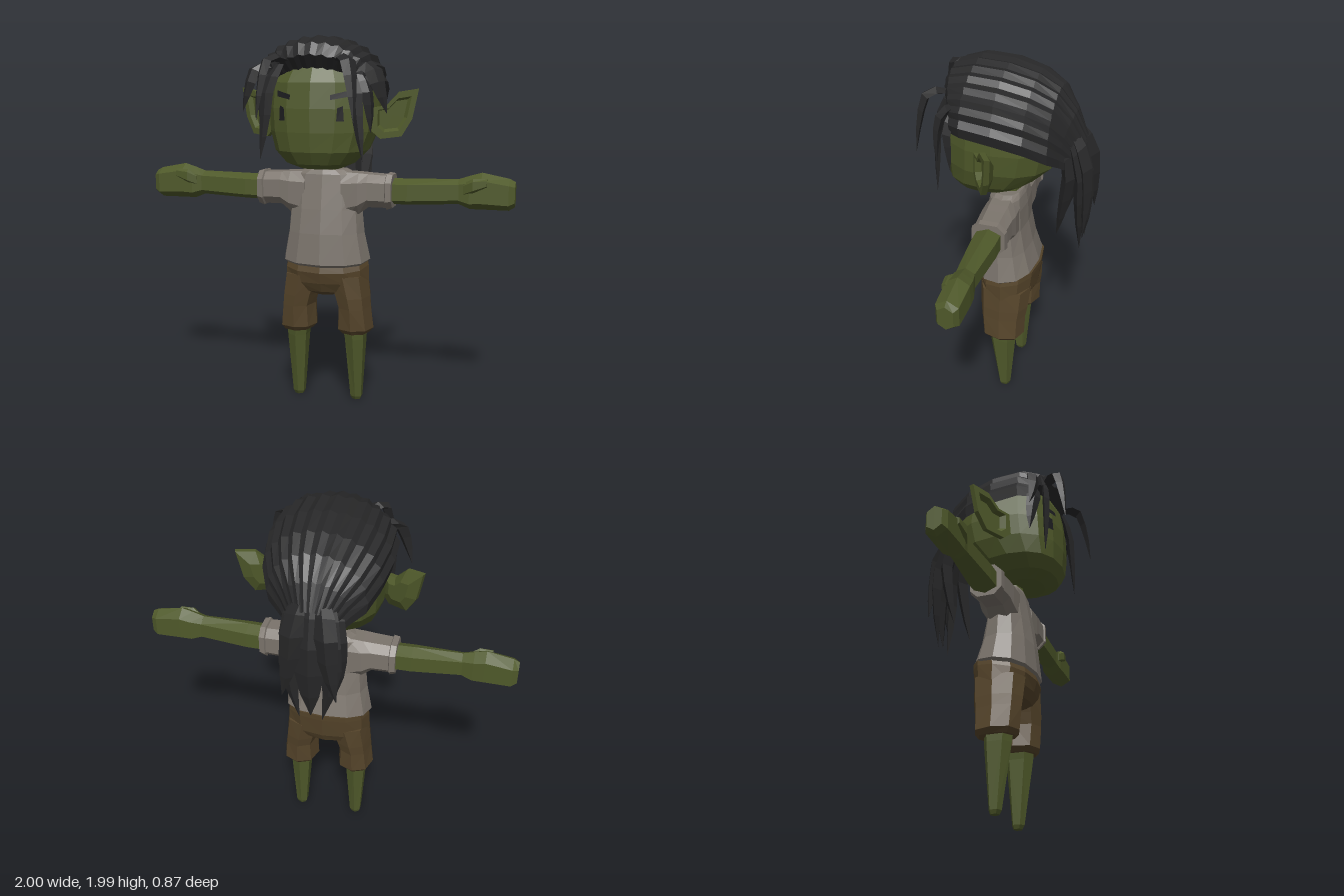
import * as THREE from 'three';

const mat = (name, color, side = THREE.FrontSide) => {
  const m = new THREE.MeshStandardMaterial({ color, flatShading: true, side });
  m.name = name;
  return m;
};
const V = (x, y, z) => new THREE.Vector3(x, y, z);
const mirrored = (rings) => rings.map((r) => r.map((p) => V(-p.x, p.y, p.z)));
const spow = (v, p) => Math.sign(v) * Math.abs(v) ** p;

// Geometry from points and triangles
function build(points, tris) {
  const g = new THREE.BufferGeometry().setFromPoints(points);
  g.setIndex(tris);
  const out = g.toNonIndexed();
  out.computeVertexNormals();
  return out;
}

// Closed skin over a list of equal-sized rings, always facing outward
function loft(rings) {
  const n = rings[0].length, pts = rings.flat(), tris = [];
  for (let r = 0; r < rings.length - 1; r++)
    for (let i = 0; i < n; i++) {
      const a = r * n + i, b = r * n + (i + 1) % n;
      tris.push(a, b, b + n, a, b + n, a + n);
    }
  const cap = (ring, base, flip) => {
    const c = ring.reduce((s, p) => s.add(p), V(0, 0, 0)).divideScalar(n);
    const k = pts.push(c) - 1;
    for (let i = 0; i < n; i++) {
      const a = base + i, b = base + (i + 1) % n;
      tris.push(k, ...(flip ? [b, a] : [a, b]));
    }
  };
  cap(rings[0], 0, true);
  cap(rings[rings.length - 1], (rings.length - 1) * n, false);
  let vol = 0;
  for (let i = 0; i < tris.length; i += 3)
    vol += pts[tris[i]].dot(pts[tris[i + 1]].clone().cross(pts[tris[i + 2]]));
  return build(pts, vol < 0 ? tris.reverse() : tris);
}

// Horizontal ring: height, x range, z range (front, back), optional tilt toward the back
const ringY = (n, y, x0, x1, zf, zb, tilt = 0, p = 0.85) => Array.from({ length: n }, (_, i) => {
  const a = (i / n) * Math.PI * 2, c = spow(Math.cos(a), p);
  return V((x0 + x1) / 2 + (x1 - x0) / 2 * spow(Math.sin(a), p), y - tilt * c, (zf + zb) / 2 + (zf - zb) / 2 * c);
});
// Upright ring across an arm
const ringX = (n, x, y0, y1, z0, z1) => Array.from({ length: n }, (_, i) => {
  const a = ((i + 0.5) / n) * Math.PI * 2;
  return V(x, (y0 + y1) / 2 + (y1 - y0) / 2 * spow(Math.sin(a), 0.7), (z0 + z1) / 2 + (z1 - z0) / 2 * spow(Math.cos(a), 0.7));
});

// Tapered lock of hair along a curve
function lock(path, width, thick, axis) {
  const curve = new THREE.CatmullRomCurve3(path.map((p) => V(...p)));
  const w = V(...axis).normalize();
  return [0.6, 0.95, 1, 0.85, 0.55, 0.02].map((s, i) => {
    const t = i / 5, c = curve.getPoint(t);
    const d = curve.getTangent(t).cross(w).normalize();
    return [[1, 0], [0, 1], [-1, 0], [0, -1]].map(([a, b]) =>
      c.clone().addScaledVector(w, a * s * width).addScaledVector(d, b * s * thick));
  });
}

// Head profile: y, half width, front z, back z
const HEAD = [
  [1.305, 0.11, 0.22, 0.0], [1.335, 0.18, 0.295, -0.06], [1.4, 0.245, 0.33, -0.15], [1.5, 0.28, 0.34, -0.25],
  [1.62, 0.29, 0.34, -0.28], [1.75, 0.28, 0.325, -0.26], [1.85, 0.21, 0.27, -0.17], [1.92, 0.1, 0.17, -0.05],
];
// Front surface of the head at x, y
function faceZ(x, y) {
  const i = HEAD.findIndex((h) => h[0] > y), a = HEAD[i - 1], b = HEAD[i];
  const t = (y - a[0]) / (b[0] - a[0]);
  const [, rx, zf, zb] = a.map((v, k) => v + (b[k] - v) * t);
  const c = Math.sqrt(1 - Math.abs(x / rx) ** (2 / 0.85)) ** 0.85;
  return (zf + zb) / 2 + (zf - zb) / 2 * c;
}

export function createModel() {
  const root = new THREE.Group();
  const skin = mat('greenSkin', 0x4f592a), shirt = mat('greyCloth', 0x7b746c);
  const pants = mat('brownCloth', 0x55442a), hair = mat('blackHair', 0x272728, THREE.DoubleSide);
  const dark = mat('eyeBlack', 0x1d1d20, THREE.DoubleSide);
  const add = (name, geo, m) => {
    const mesh = new THREE.Mesh(geo, m);
    mesh.name = name;
    root.add(mesh);
  };
  const pair = (name, rings, m) => {
    add(name + 'Left', loft(rings), m);
    add(name + 'Right', loft(mirrored(rings)), m);
  };

  // Head and neck
  add('head', loft(HEAD.map(([y, rx, zf, zb]) => ringY(16, y, -rx, rx, zf, zb))), skin);
  add('neck', loft([[1.2, 0.09], [1.29, 0.075], [1.38, 0.075]].map(([y, r]) => ringY(8, y, -r, r, 0.1, -0.05))), skin);

  // Cupped ears
  const outline = [[0.26, 1.5], [0.3, 1.46], [0.4, 1.47], [0.45, 1.56], [0.48, 1.715], [0.39, 1.7], [0.33, 1.63], [0.26, 1.62]];
  pair('ear', [[0.5, -0.035], [1, 0], [1, 0.03], [0.72, 0.03], [0.6, -0.005]].map(([s, d]) =>
    outline.map(([x, y]) => {
      const px = 0.36 + (x - 0.36) * s, py = 1.58 + (y - 1.58) * s;
      return V(px + d * 0.3, py, 0.1 - 0.6 * (px - 0.26) + d * 0.85);
    })), skin);

  // Eyes and brows laid on the face
  const patch = (name, corners) => [1, -1].forEach((s) => add(name + (s > 0 ? 'Left' : 'Right'),
    build(corners.map(([x, y]) => V(s * x, y, faceZ(x, y) + 0.009)), s > 0 ? [0, 1, 2, 0, 2, 3] : [2, 1, 0, 3, 2, 0]), dark));
  patch('eye', [[0.135, 1.56], [0.17, 1.56], [0.165, 1.635], [0.14, 1.625]]);
  patch('brow', [[0.105, 1.665], [0.185, 1.68], [0.185, 1.71], [0.105, 1.69]]);

  // Arms, hands and thumbs
  pair('arm', [[0.28, 1.11, 1.245, -0.05, 0.09], [0.45, 1.11, 1.25, -0.05, 0.09], [0.73, 1.125, 1.255, -0.03, 0.07]]
    .map((r) => ringX(6, ...r)), skin);
  pair('hand', [[0.71, 1.125, 1.255, -0.03, 0.07], [0.77, 1.1, 1.275, -0.045, 0.08], [0.83, 1.1, 1.292, -0.05, 0.08],
    [0.97, 1.1, 1.265, -0.045, 0.08], [1, 1.12, 1.25, -0.025, 0.06]].map((r) => ringX(6, ...r)), skin);
  pair('thumb', [[0.74, 1.17, 1.24, 0.03, 0.075], [0.79, 1.19, 1.265, 0.05, 0.095], [0.86, 1.22, 1.265, 0.05, 0.085]]
    .map((r) => ringX(6, ...r)), skin);

  // Shirt body: y, half width, front z, back z, tilt
  add('shirtBody', loft([[0.79, 0.225, 0.16, -0.135, 0.02], [0.805, 0.242, 0.175, -0.148, 0.02], [0.95, 0.212, 0.16, -0.11, 0],
    [1.08, 0.2, 0.14, -0.085, 0], [1.2, 0.2, 0.12, -0.08, 0], [1.265, 0.17, 0.11, -0.07, 0], [1.29, 0.115, 0.1, -0.06, 0]]
    .map(([y, r, zf, zb, t]) => ringY(12, y, -r, r, zf, zb, t))), shirt);
  pair('sleeve', [[0.1, 1.02, 1.285, -0.07, 0.12], [0.19, 1.05, 1.28, -0.075, 0.12], [0.24, 1.09, 1.275, -0.07, 0.115],
    [0.335, 1.09, 1.27, -0.065, 0.11], [0.34, 1.08, 1.28, -0.075, 0.12], [0.37, 1.09, 1.275, -0.07, 0.115]]
    .map((r) => ringX(8, ...r)), shirt);

  // Shorts: hips, seat and two legs
  add('shortsHips', loft([[0.8, 0.225, 0.165, -0.16, 0.03], [0.77, 0.232, 0.172, -0.158, 0.03],
    [0.68, 0.235, 0.155, -0.142, 0], [0.63, 0.16, 0.13, -0.12, 0], [0.6, 0.06, 0.07, -0.08, 0]]
    .map(([y, r, zf, zb, t]) => ringY(12, y, -r, r, zf, zb, t))), pants);
  pair('shortsLeg', [[0.72, 0.01, 0.23, 0.15, -0.135], [0.6, 0.05, 0.243, 0.145, -0.125], [0.54, 0.068, 0.247, 0.14, -0.115],
    [0.42, 0.06, 0.262, 0.13, -0.11], [0.395, 0.085, 0.24, 0.11, -0.09]].map(([y, ...r]) => ringY(8, y, ...r)), pants);

  // Bare lower legs
  pair('leg', [[0.45, 0.09, 0.225, 0.1, -0.065], [0.36, 0.105, 0.222, 0.09, -0.06], [0.02, 0.132, 0.2, 0.038, -0.03],
    [0, 0.142, 0.19, 0.026, -0.022]].map(([y, ...r]) => ringY(6, y, ...r)), skin);

  // Swept-back hair: z, half width, top, bottom, how far the sides lie back
  const arches = [[0.29, 0.215, 1.825, 1.68, 0.08], [0.335, 0.255, 1.89, 1.69, 0.09], [0.3, 0.29, 1.95, 1.71, 0.06],
    [0.18, 0.325, 1.985, 1.71, 0], [0.02, 0.33, 1.98, 1.69, 0], [-0.13, 0.305, 1.945, 1.65, 0],
    [-0.24, 0.255, 1.885, 1.59, 0], [-0.325, 0.18, 1.78, 1.54, -0.04], [-0.385, 0.11, 1.65, 1.48, -0.05]];
  const cols = 27, pts = [], tris = [];
  arches.forEach(([z, hw, top, bottom, back], r) => {
    for (let i = 0; i < cols; i++) {
      const a = (i / (cols - 1) - 0.5) * Math.PI;
      const s = i % 2 ? 1.01 : 0.96;
      pts.push(V(hw * s * Math.sin(a), bottom + (top - bottom) * s * Math.cos(a) ** 0.75, z - back * Math.sin(a) ** 2));
      if (r && i) {
        const k = r * cols + i, j = k - cols;
        tris.push(j - 1, k, k - 1, j - 1, j, k);
      }
    }
  });
  add('hairCap', build(pts, tris), hair);

  // Long locks at the back
  const X = [1, 0, 0];
  add('tailLockMiddle', loft(lock([[0, 1.75, -0.3], [0, 1.5, -0.38], [0, 1.25, -0.4], [0, 1.02, -0.38]], 0.09, 0.035, X)), hair);
  [
    [[0.06, 1.72, -0.29], [0.09, 1.5, -0.37], [0.11, 1.28, -0.38], [0.06, 1.0, -0.38]],
    [[0.08, 1.68, -0.27], [0.11, 1.5, -0.32], [0.12, 1.3, -0.3], [0.11, 1.1, -0.265]],
    [[0.04, 1.7, -0.31], [0.08, 1.55, -0.39], [0.1, 1.35, -0.41], [0.14, 1.15, -0.41]],
  ].forEach((p, i) => pair('tailLock' + (i + 1), lock(p, 0.06, 0.035, X), hair));

  // Loose locks framing the face
  [
    [[[0.17, 1.84, 0.29], [0.225, 1.73, 0.315], [0.245, 1.55, 0.32], [0.27, 1.36, 0.32]], 0.035, 0.02, X],
    [[[0.14, 1.86, 0.29], [0.2, 1.87, 0.37], [0.23, 1.76, 0.405], [0.25, 1.56, 0.43]], 0.04, 0.022, [0.8, 0, -0.5]],
    [[[0.22, 1.83, 0.23], [0.3, 1.82, 0.265], [0.34, 1.73, 0.28], [0.38, 1.6, 0.27]], 0.045, 0.025, [0.8, 0.2, -0.4]],
    [[[0.23, 1.8, 0.24], [0.27, 1.72, 0.26], [0.285, 1.62, 0.25], [0.29, 1.5, 0.24]], 0.04, 0.022, [0.6, 0, -0.8]],
  ].forEach(([p, w, t, axis], i) => pair('faceLock' + (i + 1), lock(p, w, t, axis), hair));

  return root;
}
